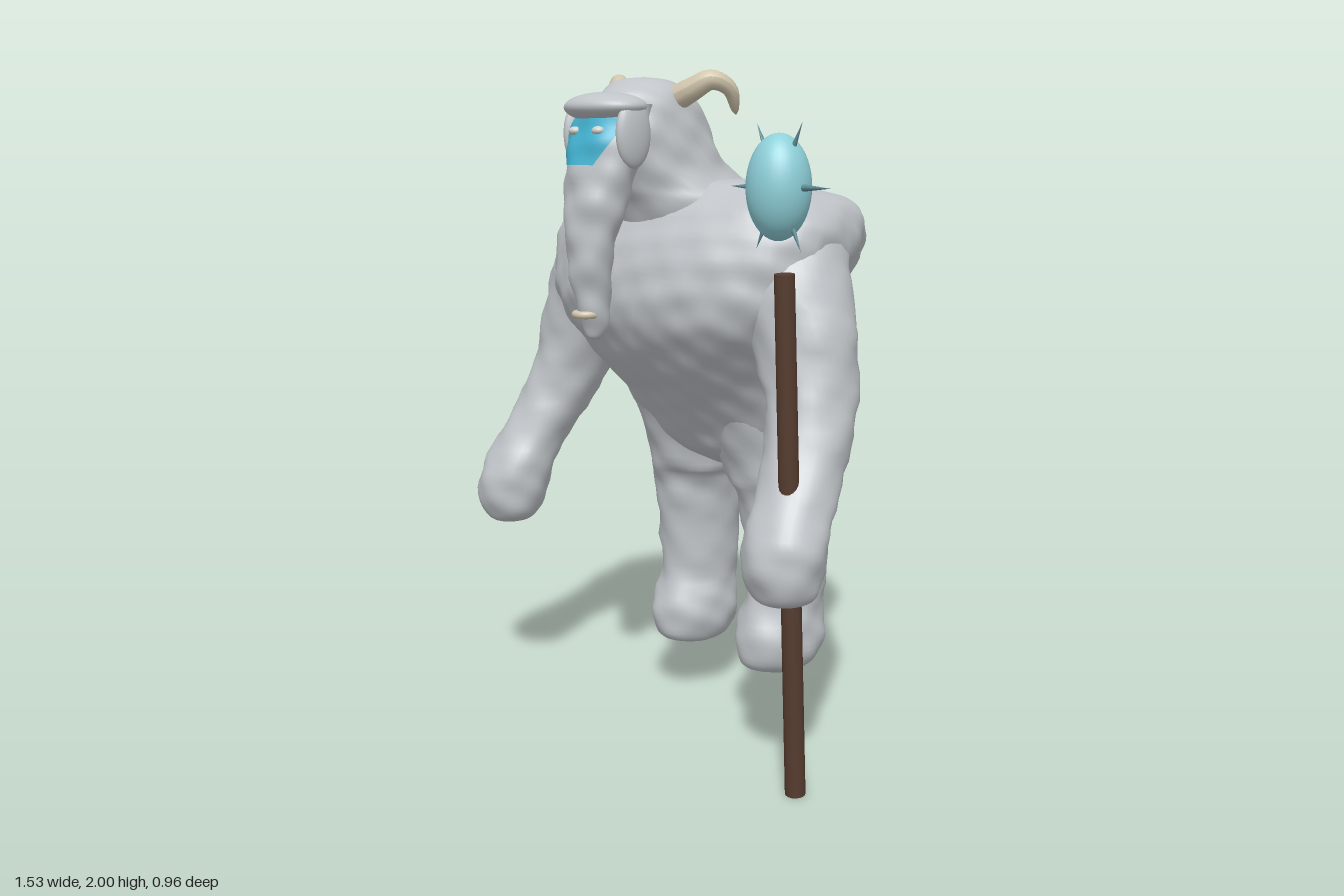
import * as THREE from 'three';
import { mergeVertices } from 'three/addons/utils/BufferGeometryUtils.js';

const MID = -0.045; // the creature's own plane of symmetry

const material = (name, color) => {
  const m = new THREE.MeshStandardMaterial({ color });
  m.name = name;
  return m;
};

// Smooth value through the rings: Catmull-Rom on each column
function sampleRings(rings, t) {
  const n = rings.length - 1;
  const i = Math.min(Math.floor(t * n), n - 1);
  const f = t * n - i;
  const p = [i - 1, i, i + 1, i + 2].map((k) => rings[Math.max(0, Math.min(n, k))]);
  return p[0].map((_, c) => {
    const [a, b, d, e] = p.map((r) => r[c]);
    return b + 0.5 * f * (d - a + f * (2 * a - 5 * b + 4 * d - e + f * (3 * (b - d) + e - a)));
  });
}

// Lumpy fur
const lump = (x, y, z) =>
  0.004 * (Math.sin(41 * x + 9 * z) * Math.sin(37 * y + 11 * x + 1) + Math.sin(43 * z - 13 * y) * Math.sin(53 * y - 17 * x));

// Loft of level rings [y, centre x, front z, back z, half width], listed upwards.
// bias places the widest point between back (0) and front (1).
function loft(rings, { bias = 0.5, rows = 48, sides = 40, from = 0, to = 1, arc = null, swell = 0 } = {}) {
  const pos = [], index = [];
  const cols = sides + 1;
  for (let i = 0; i <= rows; i++) {
    const [y, cx, zf, zb, w] = sampleRings(rings, from + ((to - from) * i) / rows);
    const zc = zb + (zf - zb) * bias;
    for (let j = 0; j <= sides; j++) {
      const a = arc ? arc(i / rows) * ((2 * j) / sides - 1) : ((j % sides) / sides) * Math.PI * 2;
      const s = Math.sin(a), c = Math.cos(a);
      const x = cx + Math.max(0, w) * s;
      const z = zc + c * (c > 0 ? zf - zc : zc - zb);
      const d = w > 0.001 ? lump(x, y, z) + swell : 0;
      pos.push(x + s * d, y, z + c * d);
      if (i < rows && j < sides) {
        const k = i * cols + j;
        index.push(k, k + 1, k + cols, k + 1, k + cols + 1, k + cols);
      }
    }
  }
  let g = new THREE.BufferGeometry();
  g.setAttribute('position', new THREE.Float32BufferAttribute(pos, 3));
  g.setIndex(index);
  g = mergeVertices(g, 1e-5);
  g.computeVertexNormals();
  return g;
}

export function createModel() {
  const model = new THREE.Group();
  model.name = 'hornedBeast';
  const fur = material('grey fur', 0xc0c4c8);
  const blue = material('blue face', 0x44b2d0);
  const ivory = material('ivory horn', 0xd0c5ac);
  const wood = material('dark wood', 0x573d30);
  const crystal = material('pale crystal', 0x8fd0d9);
  const spikeMat = material('teal spike', 0x5f8f98);
  const eyeMat = material('pale eye', 0xd0d2cf);
  blue.side = THREE.DoubleSide;

  const add = (name, geometry, mat, x = 0, y = 0, z = 0) => {
    const m = new THREE.Mesh(geometry, mat);
    m.name = name;
    m.position.set(x, y, z);
    model.add(m);
    return m;
  };
  const flip = (rings) => rings.map(([y, x, ...rest]) => [y, 2 * MID - x, ...rest]);

  // Torso with the overhanging hump across the upper back
  add('torso', loft([
    [0.8, MID, -0.2, -0.2, 0], [0.81, MID, -0.1, -0.3, 0.12], [0.87, MID, 0, -0.4, 0.27],
    [0.95, MID, 0.06, -0.432, 0.325], [1.05, MID, 0.14, -0.44, 0.335], [1.15, MID, 0.235, -0.4, 0.365],
    [1.25, MID, 0.3, -0.35, 0.42], [1.32, MID, 0.325, -0.345, 0.46], [1.4, MID, 0.325, -0.42, 0.5],
    [1.5, MID, 0.3, -0.474, 0.532], [1.58, MID, 0.255, -0.468, 0.522], [1.635, MID, 0.21, -0.425, 0.47],
    [1.668, MID, 0.17, -0.27, 0.37], [1.69, MID, 0.13, -0.12, 0.24], [1.7, MID, 0, 0, 0],
  ], { bias: 0.66, rows: 84, sides: 72 }), fur);

  // Legs, the thighs meeting in an arch and fading into the hips
  const leg = [
    [0.165, 0.15, -0.17, -0.17, 0], [0.174, 0.15, -0.1, -0.25, 0.065], [0.2, 0.15, -0.04, -0.31, 0.105],
    [0.26, 0.15, -0.02, -0.335, 0.124], [0.33, 0.15, -0.033, -0.328, 0.12], [0.41, 0.15, -0.064, -0.335, 0.112],
    [0.55, 0.152, -0.06, -0.342, 0.12], [0.68, 0.15, -0.045, -0.36, 0.13], [0.75, 0.143, -0.03, -0.378, 0.143],
    [0.79, 0.127, -0.016, -0.392, 0.163], [0.9, 0.122, 0.02, -0.412, 0.166], [1, 0.125, 0.06, -0.402, 0.157],
    [1.1, 0.12, 0.08, -0.35, 0.13], [1.17, 0.11, 0.03, -0.25, 0.07], [1.18, 0.11, -0.1, -0.1, 0],
  ];
  // Arms with rounded fists
  const arm = [
    [0.57, 0.57, 0.26, 0.26, 0], [0.58, 0.57, 0.32, 0.2, 0.06], [0.61, 0.568, 0.35, 0.165, 0.092],
    [0.68, 0.563, 0.367, 0.142, 0.116], [0.77, 0.557, 0.35, 0.12, 0.115], [0.88, 0.535, 0.285, 0.05, 0.11],
    [1, 0.505, 0.222, -0.035, 0.118], [1.13, 0.467, 0.185, -0.085, 0.134], [1.28, 0.415, 0.178, -0.11, 0.163],
    [1.42, 0.35, 0.18, -0.15, 0.18], [1.55, 0.29, 0.14, -0.16, 0.18], [1.65, 0.24, 0.08, -0.1, 0.1],
    [1.66, 0.23, 0, 0, 0],
  ];
  add('leftLeg', loft(leg), fur);
  add('rightLeg', loft(flip(leg)), fur);
  add('leftArm', loft(arm), fur);
  add('rightArm', loft(flip(arm)), fur);

  // Head, the neck flaring into the shoulders
  add('head', loft([
    [1.52, MID, 0.24, -0.2, 0.26], [1.62, MID, 0.28, -0.22, 0.26], [1.67, MID, 0.315, -0.16, 0.205],
    [1.72, MID, 0.345, -0.085, 0.173], [1.78, MID, 0.365, -0.035, 0.158], [1.85, MID, 0.375, 0, 0.148],
    [1.91, MID, 0.36, 0.035, 0.13], [1.95, MID, 0.32, 0.08, 0.102], [1.972, MID, 0.27, 0.13, 0.065],
    [1.98, MID, 0.2, 0.2, 0],
  ]), fur);
  const brow = add('brow', new THREE.SphereGeometry(1, 36, 24), fur, MID, 1.893, 0.348);
  brow.scale.set(0.138, 0.042, 0.1);
  for (const s of [-1, 1]) {
    const cheek = add(s > 0 ? 'leftCheek' : 'rightCheek', new THREE.SphereGeometry(1, 24, 20), fur, MID + s * 0.114, 1.82, 0.345);
    cheek.scale.set(0.025, 0.095, 0.06);
  }

  // Long tapering snout with the blue face on its upper front
  const snout = [
    [1.245, MID, 0.4, 0.4, 0], [1.255, MID, 0.425, 0.375, 0.025], [1.3, MID, 0.44, 0.35, 0.042],
    [1.4, MID, 0.462, 0.355, 0.056], [1.5, MID, 0.474, 0.345, 0.074], [1.6, MID, 0.47, 0.32, 0.094],
    [1.7, MID, 0.46, 0.28, 0.112], [1.8, MID, 0.435, 0.24, 0.125], [1.9, MID, 0.39, 0.22, 0.125],
  ];
  add('snout', loft(snout), fur);
  add('bluePatch', loft(snout, {
    from: 6.35 / 8, to: 7.8 / 8, rows: 16, sides: 24, swell: 0.004,
    arc: (v) => 0.5 + 0.45 * Math.min(1, v * 1.6),
  }), blue);
  const ring = add('snoutRing', new THREE.TorusGeometry(0.031, 0.011, 12, 28), ivory, MID, 1.32, 0.427);
  ring.rotation.x = Math.PI / 2;

  // Eyes and horns
  for (const s of [-1, 1]) {
    const eye = add(s > 0 ? 'leftEye' : 'rightEye', new THREE.SphereGeometry(0.017, 16, 12), eyeMat, MID + s * 0.05, 1.828, 0.417);
    eye.scale.set(1.2, 0.75, 1);

    const path = new THREE.CatmullRomCurve3([
      [0.08, 1.908, 0.178], [0.15, 1.942, 0.158], [0.198, 1.968, 0.128], [0.223, 1.945, 0.083], [0.212, 1.875, 0.045],
    ].map(([x, y, z]) => new THREE.Vector3(MID + s * x, y, z)));
    const steps = 24, around = 14;
    const horn = new THREE.TubeGeometry(path, steps, 1, around);
    const p = horn.attributes.position, v = new THREE.Vector3();
    for (let i = 0; i < p.count; i++) { // taper towards the tip
      const t = Math.floor(i / (around + 1)) / steps;
      const c = path.getPointAt(t);
      v.fromBufferAttribute(p, i).sub(c).multiplyScalar(0.037 * Math.pow(1 - t, 0.48) + 0.002).add(c);
      p.setXYZ(i, v.x, v.y, v.z);
    }
    horn.computeVertexNormals();
    add(s > 0 ? 'leftHorn' : 'rightHorn', horn, ivory);
  }

  // Staff held in the left fist
  const foot = new THREE.Vector3(0.56, 0.002, 0.193), top = new THREE.Vector3(0.584, 1.465, 0.285);
  const up = new THREE.Vector3(0, 1, 0);
  const along = top.clone().sub(foot);
  const staff = add('staff', new THREE.CylinderGeometry(0.027, 0.029, along.length(), 16), wood);
  staff.position.copy(foot).add(top).multiplyScalar(0.5);
  staff.quaternion.setFromUnitVectors(up, along.clone().normalize());

  // Floating spiked crystal
  const centre = new THREE.Vector3(0.585, 1.685, 0.31);
  const orb = add('crystal', new THREE.SphereGeometry(1, 32, 24), crystal);
  orb.position.copy(centre);
  orb.scale.set(0.085, 0.135, 0.083);
  const spikes = [[0.172, 0], [0.078, 0.16], [0.078, -0.16]];
  for (const s of [-1, 1]) for (const [x, y] of spikes) {
    const tip = new THREE.Vector3(s * x, y, 0);
    const spike = add('spike', new THREE.ConeGeometry(0.012, 0.11, 10), spikeMat);
    const dir = tip.clone().normalize();
    spike.quaternion.setFromUnitVectors(up, dir);
    spike.position.copy(centre).add(tip).addScaledVector(dir, -0.055);
  }
  return model;
}
